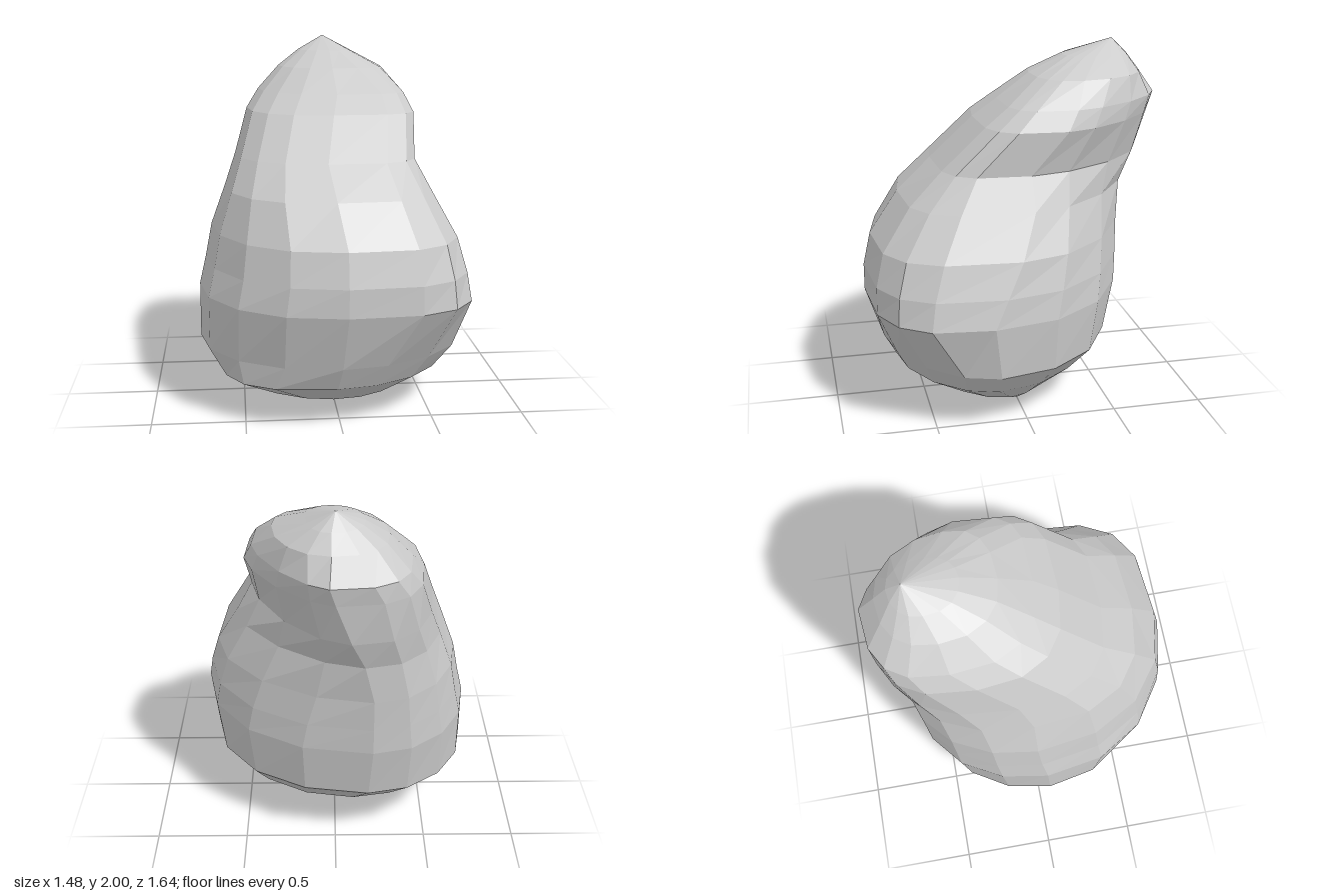
import * as THREE from 'three';

const SIDES = 16;

// Level loops of the rock, from the base to the peak:
// [y, front x, front z, back x, back z, +x extent, z of it, -x extent, z of it]
const LEVELS = [
  [0.01, 0.05, 0.12, 0.05, -0.08, 0.26, 0.00, -0.10, 0.00],
  [0.07, -0.02, 0.40, -0.04, -0.18, 0.37, 0.06, -0.46, 0.04],
  [0.22, -0.02, 0.65, -0.10, -0.44, 0.58, 0.17, -0.63, 0.06],
  [0.35, 0.00, 0.72, -0.18, -0.58, 0.69, 0.18, -0.74, 0.05],
  [0.65, 0.02, 0.82, -0.20, -0.64, 0.735, 0.22, -0.74, 0.03],
  [0.80, 0.02, 0.82, -0.20, -0.65, 0.71, 0.15, -0.705, 0.00],
  [0.98, 0.02, 0.78, -0.20, -0.665, 0.66, 0.06, -0.67, -0.02],
  [1.20, -0.02, 0.62, -0.15, -0.69, 0.54, -0.03, -0.59, -0.03],
  [1.37, -0.05, 0.43, -0.08, -0.76, 0.45, -0.03, -0.53, -0.10],
  [1.60, 0.00, 0.20, 0.00, -0.80, 0.475, -0.22, -0.46, -0.30],
  [1.70, 0.03, 0.07, 0.03, -0.82, 0.43, -0.28, -0.39, -0.42],
  [1.83, 0.02, -0.11, 0.02, -0.73, 0.32, -0.34, -0.27, -0.45],
  [1.92, 0.02, -0.30, 0.02, -0.66, 0.15, -0.45, -0.15, -0.50],
];

// Corner exponents per level: under 1 is fuller than round, over 1 is flatter
// [front +x, back +x, back -x, front -x]
const CORNERS = [
  [1.0, 1.0, 1.0, 1.0],
  [1.0, 1.0, 1.0, 1.1],
  [1.1, 1.0, 1.0, 0.65],
  [1.1, 0.96, 1.0, 0.95],
  [0.65, 0.95, 1.0, 0.93],
  [0.62, 1.0, 1.0, 0.95],
  [0.6, 1.1, 1.0, 0.92],
  [0.55, 1.26, 0.9, 0.8],
  [0.5, 1.27, 0.8, 0.8],
  [0.5, 1.4, 0.7, 0.8],
  [0.5, 1.4, 0.7, 0.8],
  [0.75, 1.0, 0.8, 0.9],
  [0.9, 0.9, 0.9, 0.9],
];

// Quarter arcs of varying fullness join the four extremes of a level
function levelPoint(i, j) {
  const [y, frontX, frontZ, backX, backZ, right, rightZ, left, leftZ] = LEVELS[i];
  const quarter = Math.floor((j * 4) / SIDES);
  const a = (j / SIDES) * Math.PI * 2;
  const s = Math.abs(Math.sin(a)) ** CORNERS[i][quarter];
  const c = Math.abs(Math.cos(a)) ** CORNERS[i][quarter];
  const [sideX, sideZ] = quarter < 2 ? [right, rightZ] : [left, leftZ];
  const [endX, endZ] = quarter % 3 === 0 ? [frontX, frontZ] : [backX, backZ];
  return [endX + (sideX - endX) * s, y, sideZ + (endZ - sideZ) * c];
}

function rockGeometry() {
  const positions = [], index = [];
  for (let i = 0; i < LEVELS.length; i++) {
    for (let j = 0; j < SIDES; j++) positions.push(...levelPoint(i, j));
  }
  const bottom = LEVELS.length * SIDES, peak = bottom + 1;
  positions.push(0.06, 0, 0, 0, 2, -0.58);

  const last = (LEVELS.length - 1) * SIDES;
  for (let j = 0; j < SIDES; j++) {
    const k = (j + 1) % SIDES;
    // Facets between neighbouring levels
    for (let row = 0; row < last; row += SIDES) {
      const a = row + j, b = row + k, c = b + SIDES, d = a + SIDES;
      index.push(a, b, c, a, c, d);
    }
    // Closing fans at the base and the peak
    index.push(bottom, k, j, peak, last + j, last + k);
  }

  const indexed = new THREE.BufferGeometry();
  indexed.setAttribute('position', new THREE.Float32BufferAttribute(positions, 3));
  indexed.setIndex(index);
  const geometry = indexed.toNonIndexed();
  geometry.computeVertexNormals();
  return geometry;
}

export function createModel() {
  const group = new THREE.Group();
  group.name = 'boulder';
  const material = new THREE.MeshStandardMaterial({ color: 0xcccccc, flatShading: true });
  const rock = new THREE.Mesh(rockGeometry(), material);
  rock.name = 'rock';
  group.add(rock);
  return group;
}
